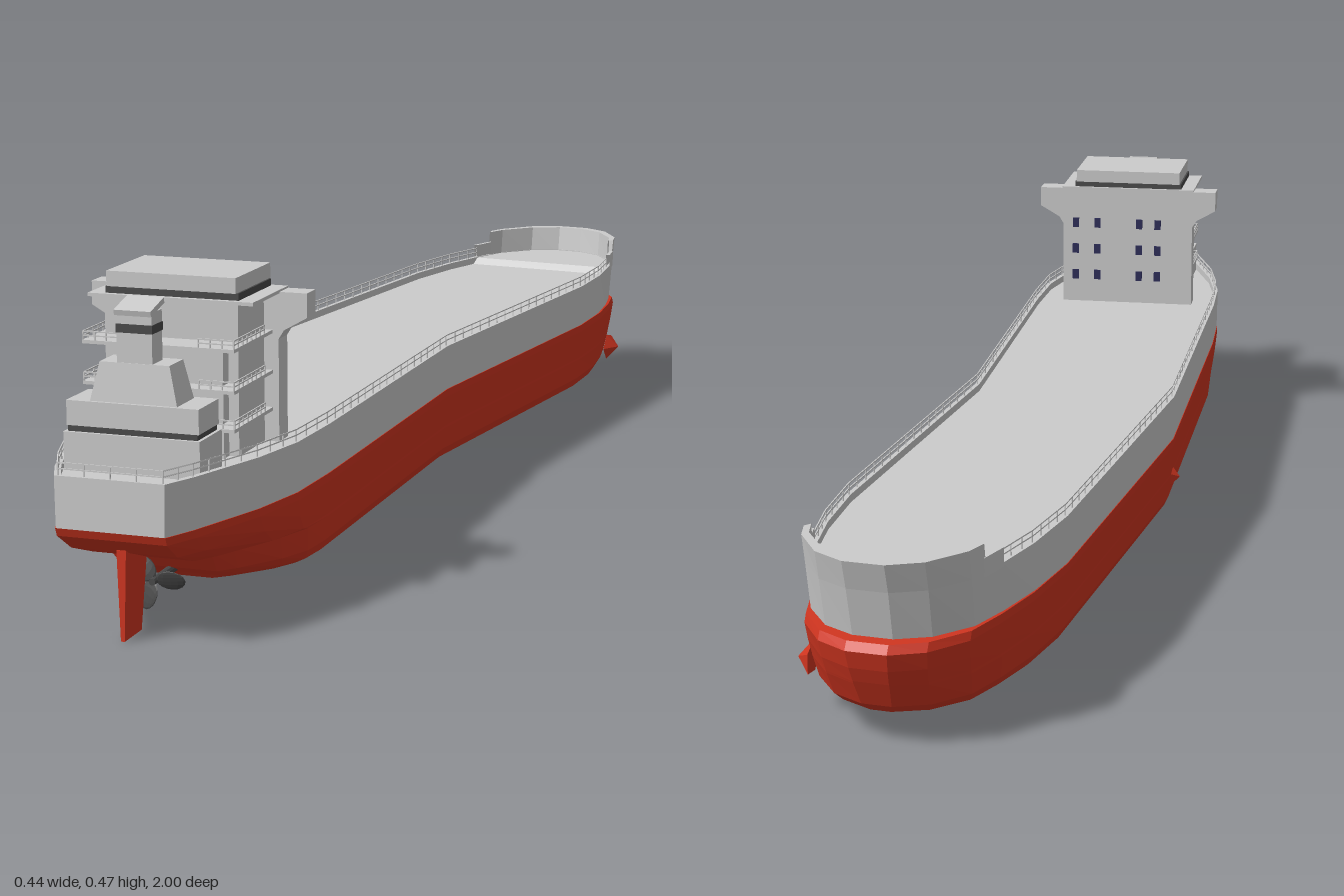
import * as THREE from 'three';
import { mergeGeometries } from 'three/addons/utils/BufferGeometryUtils.js';

const CX = -0.043;      // centreline of the aft half
const BEND = 0.125;     // angle of the forward half
const mat = (color) => new THREE.MeshStandardMaterial({ color, flatShading: true, side: THREE.DoubleSide });

// half-breadth and z of the hull outline, stern to bow
const STATIONS = [[0.08, 1], [0.102, 0.95], [0.145, 0.82], [0.165, 0.72], [0.17, 0.6], [0.17, 0], [0.17, -0.62],
  [0.158, -0.75], [0.14, -0.845], [0.12, -0.92], [0.078, -0.978], [0.03, -1.004]];

// swing the forward half sideways, mitred at z = 0
function bend(x, y, z) {
  const a = z < 0 ? BEND : z === 0 ? BEND / 2 : 0;
  const c = Math.cos(a), s = Math.sin(a);
  return new THREE.Vector3(CX + x * c - z * s, y, z * c + x * s);
}

// closed outline at one height; the ends slide to zStern and -zBow
function ring(y, zStern, zBow, inset = 0, stations = STATIONS) {
  const half = stations.map(([w, z]) => {
    if (z > 0.6) z = 0.6 + (z - 0.6) * (zStern - 0.6) / 0.4;
    if (z < -0.6) z = -0.6 + (z + 0.6) * (zBow - 0.6) / 0.404;
    return [w - inset, z];
  });
  return [...half.map(([w, z]) => bend(w, y, z)), ...half.reverse().map(([w, z]) => bend(-w, y, z))];
}

// skin rings listed from top to bottom
function loft(rings, { closed = true, top = false, bottom = false } = {}) {
  const pos = [], n = rings[0].length;
  const quad = (a, b, c, d) => [a, b, c, a, c, d].forEach((p) => pos.push(p.x, p.y, p.z));
  for (let r = 0; r < rings.length - 1; r++) {
    const T = rings[r], B = rings[r + 1];
    for (let i = 0; i < (closed ? n : n - 1); i++) {
      const j = (i + 1) % n;
      quad(T[i], B[i], B[j], T[j]);
    }
  }
  const cap = (R, up) => {
    for (let i = 0; i < n / 2 - 1; i++) {
      const q = [R[i], R[i + 1], R[n - 2 - i], R[n - 1 - i]];
      quad(...(up ? q : q.reverse()));
    }
  };
  if (top) cap(rings[0], true);
  if (bottom) cap(rings[rings.length - 1], false);
  const g = new THREE.BufferGeometry();
  g.setAttribute('position', new THREE.Float32BufferAttribute(pos, 3));
  g.computeVertexNormals();
  return g;
}

// thin square bar between two points
function bar(a, b, t) {
  const d = b.clone().sub(a);
  const g = new THREE.BoxGeometry(t, d.length(), t);
  g.applyQuaternion(new THREE.Quaternion().setFromUnitVectors(new THREE.Vector3(0, 1, 0), d.normalize()));
  return g.translate((a.x + b.x) / 2, (a.y + b.y) / 2, (a.z + b.z) / 2);
}

// posts and two rails along a path
function railing(path, h, gap, t) {
  const parts = [], up = (p, k) => p.clone().setY(p.y + h * k);
  for (let i = 0; i < path.length - 1; i++) {
    const a = path[i], b = path[i + 1], n = Math.max(1, Math.round(a.distanceTo(b) / gap));
    for (const k of [0.55, 1]) parts.push(bar(up(a, k), up(b, k), t));
    for (let j = 0; j <= n; j++) {
      const p = a.clone().lerp(b, j / n);
      parts.push(bar(p, up(p, 1), t));
    }
  }
  return mergeGeometries(parts);
}

export function createModel() {
  const ship = new THREE.Group();
  ship.name = 'ship';
  const grey = mat(0xcccccc), red = mat(0xd03520), dark = mat(0x4a4a4a), glass = mat(0x2c2c58);
  const add = (name, geo, m = grey) => {
    const mesh = new THREE.Mesh(geo, m);
    mesh.name = name;
    ship.add(mesh);
    return mesh;
  };
  // box given by half width about the centreline, y range and z range
  const block = (name, hw, y0, y1, z0, z1, m = grey, x = 0) => add(name,
    new THREE.BoxGeometry(hw * 2, y1 - y0, z1 - z0).translate(CX + x, (y0 + y1) / 2, (z0 + z1) / 2), m);

  // hull: upper sides with a low inner bulwark and deck, then the red underbody
  const deckEdge = ring(0.235, 1, 0.99);
  add('upperHull', loft([ring(0.223, 0.993, 0.982, 0.007), ring(0.235, 0.993, 0.982, 0.007), deckEdge,
    ring(0.162, 1, 0.972, 0.001)], { top: true }));
  add('underbody', loft([ring(0.163, 0.99, 0.965, 0.004), ring(0.162, 1, 0.992), ring(0.15, 0.995, 1),
    ring(0.123, 0.955, 0.992, 0.002), ring(0.1, 0.89, 0.982, 0.004), ring(0.096, 0.83, 0.98, 0.004),
    ring(0.06, 0.8, 0.962, 0.008), ring(0.045, 0.77, 0.945, 0.015), ring(0.036, 0.757, 0.92, 0.032)],
  { bottom: true }), red);

  // raised foredeck with a sloped step
  const bow = STATIONS.slice(8);
  add('foredeck', loft([ring(0.234, 1, 0.98, 0.006, bow),
    ring(0.222, 1, 0.98, 0.006, [[0.142, -0.83], ...bow.slice(1)])], { top: true }));

  // bow bulwark in two steps
  const bulwark = (name, h, stations) => add(name, loft([ring(0.225, 1, 0.982, 0.007, stations),
    ring(h, 1, 0.99, 0.007, stations), ring(h, 1, 1.004, 0, stations), ring(0.235, 1, 0.99, 0, stations)],
  { closed: false }));
  bulwark('bowBulwark', 0.279, [[0.13, -0.885], ...bow.slice(1)]);
  for (const s of [1, -1]) {
    const wall = [[0.142, -0.835], [0.13, -0.885]].map(([w, z]) => [w * s, z]);
    const at = (y, k) => wall.map(([w, z]) => bend(w * k, y, z));
    add('bulwarkStep', loft([at(0.225, 0.95), at(0.258, 0.95), at(0.258, 1), at(0.23, 1)], { closed: false }));
  }

  // deck railing from one shoulder round the stern to the other
  const n = deckEdge.length;
  const inner = ring(0.234, 0.996, 0.985, 0.004);
  add('deckRailing', railing([...inner.slice(0, 9).reverse(), ...inner.slice(n - 9).reverse()], 0.018, 0.035, 0.0018));

  // crumpled plating on both sides
  for (const [x, y, z, s] of [[0.143, 0.075, -0.86, 1], [-0.168, 0.09, 0.01, -1]]) {
    const plate = add('crumpledPlate', new THREE.ConeGeometry(0.028, 0.03, 5).rotateZ(-s * Math.PI / 2), red);
    plate.position.copy(bend(x, y, z));
    plate.scale.set(0.7, 0.9, 1.3);
  }

  // bridge front with overhanging wings
  const right = [[0.122, 0.222], [0.122, 0.372], [0.13, 0.385], [0.165, 0.405], [0.165, 0.44]];
  const wings = new THREE.Shape([...right, ...right.map(([x, y]) => [-x, y]).reverse()].map(([x, y]) => new THREE.Vector2(x, y)));
  add('bridgeFront', new THREE.ExtrudeGeometry(wings, { depth: 0.035, bevelEnabled: false }).translate(CX, 0, 0.645));
  block('accommodation', 0.1, 0.222, 0.44, 0.675, 0.78);
  block('bridgeDeck', 0.124, 0.438, 0.443, 0.645, 0.785);
  block('bridgeWindows', 0.1, 0.443, 0.453, 0.65, 0.777, dark);
  block('bridgeRoof', 0.097, 0.453, 0.475, 0.645, 0.78);
  for (const y of [0.275, 0.325, 0.375]) {
    for (const x of [0.098, 0.057, -0.022, -0.057]) block('window', 0.006, y - 0.009, y + 0.009, 0.643, 0.647, glass, x);
  }

  // aft balconies
  for (const y of [0.268, 0.322, 0.38]) {
    block('balcony', 0.113, y, y + 0.005, 0.68, 0.83);
    for (const s of [1, -1]) {
      const path = [[0.112, 0.71], [0.112, 0.828], [0.06, 0.828]].map(([x, z]) => new THREE.Vector3(CX + s * x, y + 0.004, z));
      add('balconyRailing', railing(path, 0.013, 0.018, 0.0018));
    }
  }
  block('aftHouse', 0.085, 0.222, 0.385, 0.775, 0.8);

  // funnel casing and stack
  block('funnelHouse', 0.1, 0.222, 0.277, 0.845, 0.925);
  block('funnelHouseBand', 0.095, 0.277, 0.285, 0.85, 0.92, dark);
  block('funnelHouseTop', 0.097, 0.285, 0.32, 0.848, 0.92);
  const casing = new THREE.CylinderGeometry(0.8, 1, 0.055, 4).rotateY(Math.PI / 4);
  casing.scale(0.064 * Math.SQRT2, 1, 0.03 * Math.SQRT2).translate(CX, 0.347, 0.885);
  add('funnelCasing', casing);
  block('funnelStack', 0.026, 0.37, 0.445, 0.873, 0.908);
  block('funnelBand', 0.0268, 0.416, 0.428, 0.872, 0.909, dark);
  const cap = block('funnelCap', 0.027, 0.443, 0.451, 0.866, 0.914);
  cap.geometry.translate(-CX, -0.447, -0.89).rotateX(0.25).translate(CX, 0.45, 0.89);

  // rudder, tapering downwards
  const rudder = new THREE.BoxGeometry(0.014, 0.128, 0.075);
  const p = rudder.attributes.position;
  for (let i = 0; i < p.count; i++) {
    if (p.getY(i) > 0) continue;
    p.setX(i, p.getX(i) * 0.4);
    if (p.getZ(i) < 0) p.setZ(i, p.getZ(i) + 0.017);
  }
  add('rudder', rudder.translate(CX, 0.064, 0.927), red);

  // propeller
  const propeller = new THREE.Group();
  propeller.name = 'propeller';
  propeller.position.set(CX, 0.055, 0.852);
  const hub = new THREE.Mesh(new THREE.CylinderGeometry(0.005, 0.007, 0.1, 10).rotateX(Math.PI / 2).translate(0, 0, -0.04), dark);
  hub.name = 'shaft';
  propeller.add(hub);
  for (const deg of [4, 138, 246]) {
    const blade = new THREE.Mesh(new THREE.SphereGeometry(1, 12, 8).scale(0.022, 0.016, 0.0025)
      .rotateX(0.4).translate(0.024, 0, 0).rotateZ(deg * Math.PI / 180), dark);
    blade.name = 'blade';
    propeller.add(blade);
  }
  ship.add(propeller);
  return ship;
}
